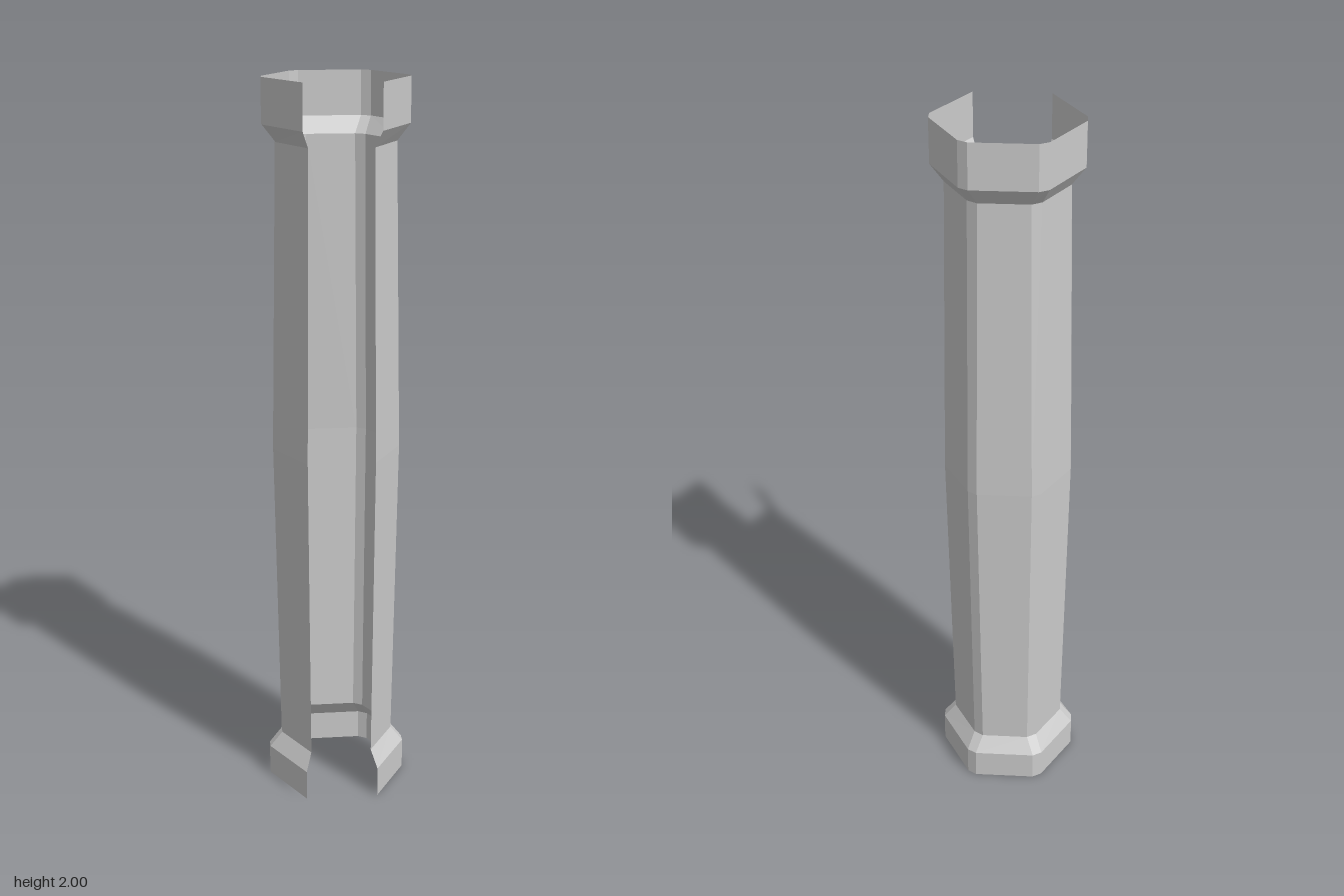
import * as THREE from 'three';

// Open hexagonal outline with bevelled corners, +x half from front edge to back: [x, z]
const NARROW = [[0.085, 0.143], [0.159, 0.013], [0.159, -0.015], [0.092, -0.13], [0.066, -0.146]];
const WIDE = [[0.101, 0.174], [0.194, 0.013], [0.194, -0.015], [0.11, -0.161], [0.085, -0.176]];

// Outline at flare t (0 = narrow shaft, 1 = wide collar), mirrored to the -x side
function outline(t) {
  const half = NARROW.map(([x, z], i) => [
    THREE.MathUtils.lerp(x, WIDE[i][0], t),
    THREE.MathUtils.lerp(z, WIDE[i][1], t),
  ]);
  return [...half, ...half.map(([x, z]) => [-x, z]).reverse()];
}

// Thin open wall lofted through levels of [height, flare]
function shell(name, levels, material) {
  const positions = [];
  for (let l = 0; l < levels.length - 1; l++) {
    const [y0, t0] = levels[l];
    const [y1, t1] = levels[l + 1];
    const low = outline(t0);
    const high = outline(t1);
    for (let i = 0; i < low.length - 1; i++) {
      const a = [low[i][0], y0, low[i][1]];
      const b = [low[i + 1][0], y0, low[i + 1][1]];
      const c = [high[i + 1][0], y1, high[i + 1][1]];
      const d = [high[i][0], y1, high[i][1]];
      positions.push(...a, ...b, ...c, ...a, ...c, ...d);
    }
  }
  const geometry = new THREE.BufferGeometry();
  geometry.setAttribute('position', new THREE.Float32BufferAttribute(positions, 3));
  geometry.computeVertexNormals();
  const mesh = new THREE.Mesh(geometry, material);
  mesh.name = name;
  return mesh;
}

export function createModel() {
  const group = new THREE.Group();
  group.name = 'openColumn';
  const material = new THREE.MeshStandardMaterial({
    color: 0xcccccc, flatShading: true, side: THREE.DoubleSide,
  });

  // Base collar, gently swelling shaft, top collar
  group.add(
    shell('baseCollar', [[0, 1], [0.085, 1], [0.13, 0]], material),
    shell('shaft', [[0.13, 0], [1, 0.42], [1.835, 0]], material),
    shell('topCollar', [[1.835, 0], [1.88, 1], [2, 1]], material),
  );
  return group;
}
